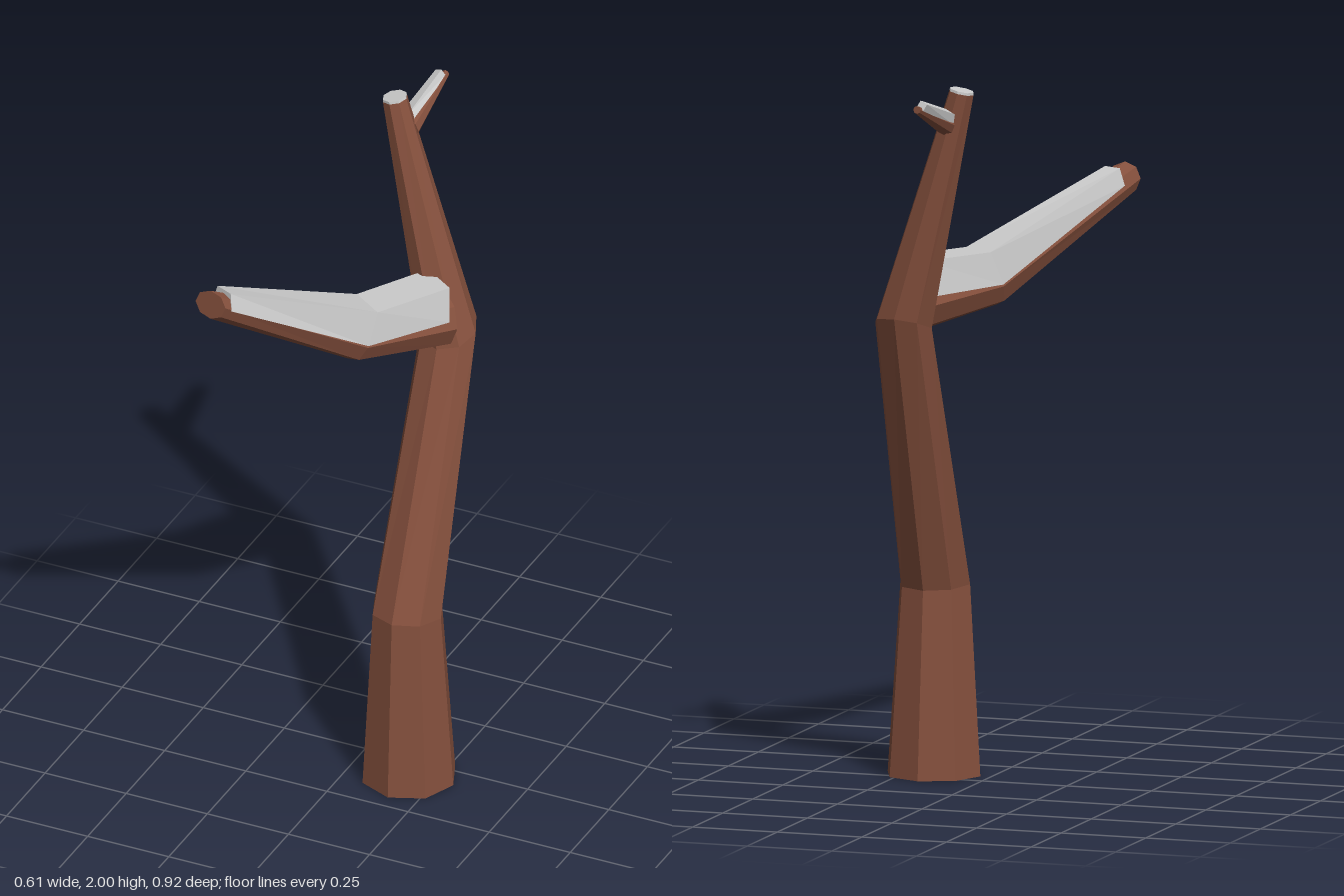
import * as THREE from 'three';

const bark = new THREE.MeshStandardMaterial({ color: 0x85503d, flatShading: true });
const snow = new THREE.MeshStandardMaterial({ color: 0xcccccc, flatShading: true });
const vec = (a) => new THREE.Vector3(...a);

// Ring of points around centre c, facing n; profile is a list of [degrees from ref, radius]
function ring(c, n, ref, profile) {
  const axis = vec(n).normalize();
  const u = vec(ref).addScaledVector(axis, -vec(ref).dot(axis)).normalize();
  const v = axis.clone().cross(u);
  return profile.map(([deg, r]) => {
    const a = THREE.MathUtils.degToRad(deg);
    return vec(c).addScaledVector(u, r * Math.cos(a)).addScaledVector(v, r * Math.sin(a));
  });
}

const octagon = (r) => Array.from({ length: 8 }, (_, i) => [i * 45, r]);

// Arched strip lying on a limb: side radius, crown radius, turn about the limb
const arch = (side, top, turn = 0) => [
  [-85 + turn, side], [-28 + turn, top], [28 + turn, top], [85 + turn, side], [180 + turn, side * 0.2],
];

// Skin a list of rings and close both ends
function loft(name, rings, material) {
  const pos = [];
  const tri = (...pts) => pts.forEach((p) => pos.push(p.x, p.y, p.z));
  const n = rings[0].length;
  for (let k = 0; k < rings.length - 1; k++) {
    for (let i = 0; i < n; i++) {
      const j = (i + 1) % n;
      const [a, b, c, d] = [rings[k][i], rings[k][j], rings[k + 1][j], rings[k + 1][i]];
      tri(a, b, c);
      tri(a, c, d);
    }
  }
  const first = rings[0], last = rings[rings.length - 1];
  for (let i = 1; i < n - 1; i++) {
    tri(first[0], first[i + 1], first[i]);
    tri(last[0], last[i], last[i + 1]);
  }
  const geo = new THREE.BufferGeometry();
  geo.setAttribute('position', new THREE.Float32BufferAttribute(pos, 3));
  geo.computeVertexNormals();
  const mesh = new THREE.Mesh(geo, material);
  mesh.name = name;
  return mesh;
}

export function createModel() {
  const tree = new THREE.Group();
  tree.name = 'bareTree';
  const X = [1, 0, 0], Y = [0, 1, 0];

  // Bent, tapering trunk
  const tip = [-0.028, 1.985, -0.25], tipDir = [-0.2, 1, 0.03];
  tree.add(loft('trunk', [
    ring([0.167, 0, 0.07], Y, X, octagon(0.137)),
    ring([0.165, 0.54, 0.075], [0, 1, -0.08], X, octagon(0.103)),
    ring([0.16, 1.31, -0.203], [-0.05, 1, 0.36], X, octagon(0.084)),
    ring(tip, tipDir, X, octagon(0.036)),
  ], bark));

  // Snow cap on the trunk top
  tree.add(loft('trunkSnow', [
    ring(tip, tipDir, X, octagon(0.036)),
    ring([-0.029, 1.992, -0.25], tipDir, X, octagon(0.035)),
  ], snow));

  // Main branch, level at first and then rising, cut off flat at its end
  const root = [0.155, 1.365, -0.17], rootDir = [-0.55, 0.1, 0.83];
  const elbow = [0.005, 1.393, 0.075], elbowDir = [-0.52, 0.36, 0.78];
  tree.add(loft('branch', [
    ring(root, rootDir, Y, octagon(0.083)),
    ring(elbow, elbowDir, Y, octagon(0.067)),
    ring([-0.259, 1.645, 0.46], [0, 0, 1], Y, octagon(0.046)),
  ], bark));

  // Snow lying along the branch
  tree.add(loft('branchSnow', [
    ring([0.145, 1.385, -0.15], rootDir, Y, arch(0.075, 0.122)),
    ring(elbow, elbowDir, Y, arch(0.068, 0.12)),
    ring([-0.238, 1.627, 0.43], [-0.4, 0.15, 0.9], Y, arch(0.041, 0.06)),
  ], snow));

  // Small twig near the top, pointing backward
  const twigDir = [0.1, 0.35, -1];
  tree.add(loft('twig', [
    ring([0.01, 1.89, -0.26], [0.1, 0.1, -1], Y, octagon(0.032)),
    ring([0.03, 1.965, -0.457], [0, 0, -1], Y, octagon(0.011)),
  ], bark));
  tree.add(loft('twigSnow', [
    ring([0.006, 1.9, -0.265], twigDir, Y, arch(0.024, 0.036, -25)),
    ring([0.026, 1.965, -0.445], twigDir, Y, arch(0.012, 0.025, -25)),
  ], snow));

  return tree;
}
